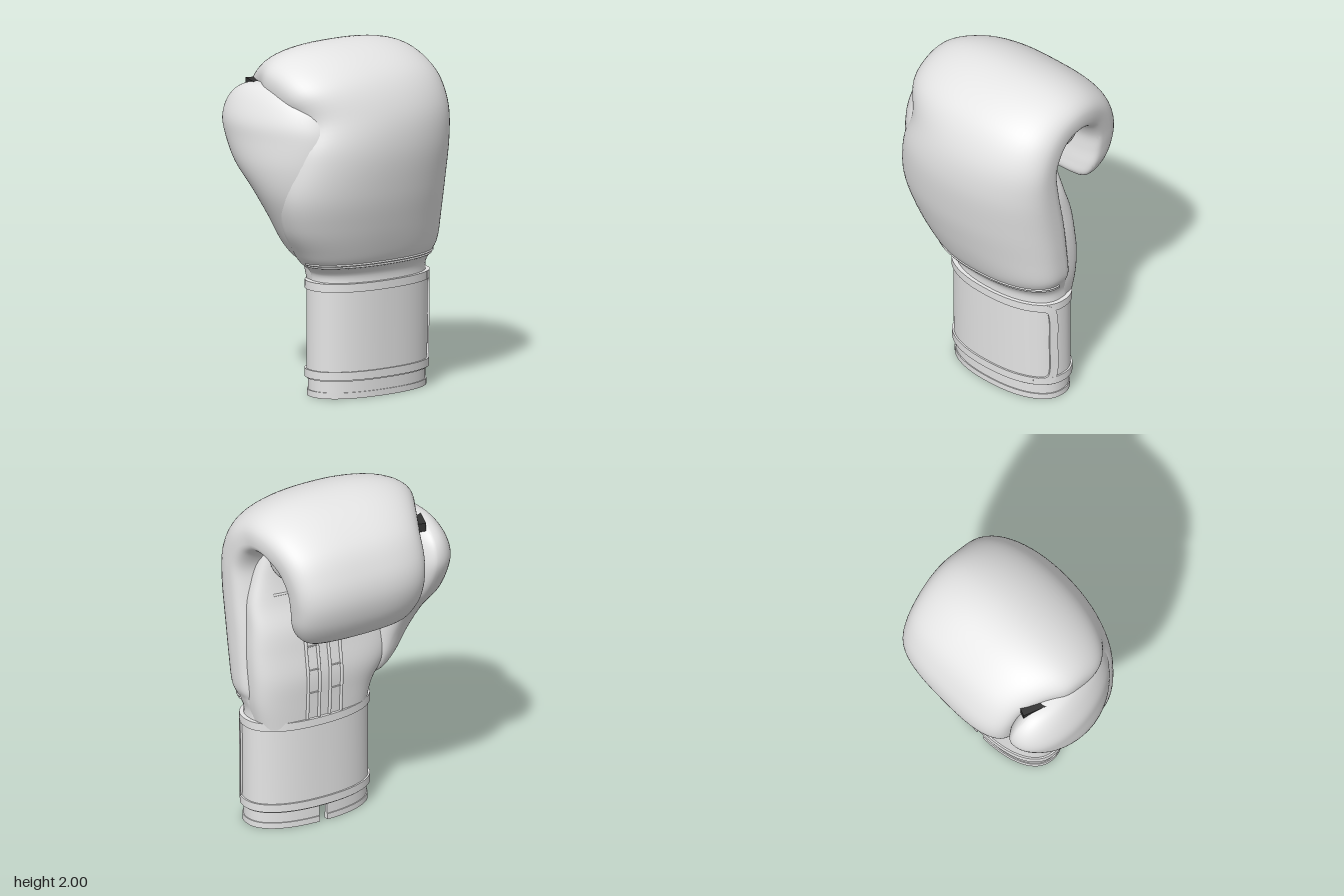
import * as THREE from 'three';
import { toCreasedNormals } from 'three/addons/utils/BufferGeometryUtils.js';

const V = (x, y, z) => new THREE.Vector3(x, y, z);
const leather = new THREE.MeshStandardMaterial({ color: 0xe5e5e5 });
leather.name = 'light grey leather';
const webbing = new THREE.MeshStandardMaterial({ color: 0x333333 });
webbing.name = 'dark webbing';

// Smooth interpolation of a table of section rows at parameter t
function rowAt(rows, t) {
  const last = rows.length - 1;
  const i = Math.min(Math.floor(t), last - 1), f = t - i;
  const at = (k) => rows[Math.max(0, Math.min(last, k))];
  return rows[0].map((_, c) => {
    const [a, b, d, e] = [at(i - 1)[c], at(i)[c], at(i + 1)[c], at(i + 2)[c]];
    return b + 0.5 * f * (d - a + f * (2 * a - 5 * b + 4 * d - e + f * (3 * (b - d) + e - a)));
  });
}

// Signed power used for superellipse sections
const pw = (v, n) => Math.sign(v) * Math.abs(v) ** (2 / n);

// Skin closed rings into a solid, capped at the ends or looped round
function loft(rings, loop = false) {
  const n = rings[0].length, m = rings.length, pos = [], idx = [];
  rings.forEach((r) => r.forEach((p) => pos.push(p.x, p.y, p.z)));
  for (let i = 0; i < (loop ? m : m - 1); i++) {
    for (let j = 0; j < n; j++) {
      const k = (i + 1) % m, l = (j + 1) % n;
      const a = i * n + j, b = i * n + l, c = k * n + l, d = k * n + j;
      idx.push(a, b, c, a, c, d);
    }
  }
  if (!loop) {
    [0, m - 1].forEach((r) => {
      const c = rings[r].reduce((s, p) => s.add(p), V(0, 0, 0)).divideScalar(n);
      const ci = pos.length / 3;
      pos.push(c.x, c.y, c.z);
      for (let j = 0; j < n; j++) {
        const a = r * n + j, b = r * n + (j + 1) % n;
        if (r === 0) idx.push(ci, b, a); else idx.push(ci, a, b);
      }
    });
  }
  // Turn the faces outwards when the enclosed volume is negative
  const p = (i) => V(pos[3 * i], pos[3 * i + 1], pos[3 * i + 2]);
  let vol = 0;
  for (let i = 0; i < idx.length; i += 3) vol += p(idx[i]).dot(p(idx[i + 1]).cross(p(idx[i + 2])));
  if (vol < 0) idx.reverse();
  const g = new THREE.BufferGeometry();
  g.setAttribute('position', new THREE.Float32BufferAttribute(pos, 3));
  g.setIndex(idx);
  return toCreasedNormals(g, 0.75);
}

const ringOf = (fn, n = 64) => Array.from({ length: n }, (_, i) => fn((i / n) * Math.PI * 2));
const loftRows = (rows, section, steps) =>
  loft(Array.from({ length: steps + 1 }, (_, i) => {
    const r = rowAt(rows, (i / steps) * (rows.length - 1));
    return ringOf((a) => section(r, a));
  }));

// Padded shell: outer z, outer y, inner z, inner y, x right edge, x left edge, squareness
const shellRows = [
  [0.285, 0.64, -0.02, 0.64, -0.2, 0.54, 2.2], [0.29, 0.71, -0.02, 0.71, -0.21, 0.54, 2.2],
  [0.335, 0.775, 0, 0.775, -0.3, 0.56, 2.2], [0.37, 0.85, 0, 0.84, -0.355, 0.585, 2.2],
  [0.42, 1, 0.01, 0.98, -0.445, 0.59, 2.1], [0.47, 1.2, 0.03, 1.18, -0.5, 0.59, 2.1],
  [0.5, 1.45, 0.075, 1.4, -0.465, 0.59, 2.1], [0.47, 1.66, 0.1, 1.55, -0.405, 0.59, 2.1],
  [0.37, 1.84, 0.06, 1.65, -0.465, 0.585, 2.2], [0.2, 1.955, 0, 1.695, -0.48, 0.575, 2.3],
  [0, 2, -0.07, 1.71, -0.47, 0.57, 2.4], [-0.2, 1.955, -0.13, 1.69, -0.415, 0.555, 2.6],
  [-0.38, 1.83, -0.19, 1.64, -0.36, 0.53, 2.8], [-0.47, 1.68, -0.235, 1.55, -0.345, 0.51, 2.9],
  [-0.5, 1.54, -0.235, 1.45, -0.335, 0.495, 2.9], [-0.475, 1.4, -0.22, 1.35, -0.32, 0.475, 2.7],
  [-0.41, 1.28, -0.215, 1.28, -0.28, 0.43, 2.5], [-0.35, 1.235, -0.25, 1.24, -0.22, 0.37, 2.4],
  [-0.31, 1.22, -0.29, 1.22, -0.14, 0.3, 2.2],
];
// Widest a third of the way out, rounded outside and flatter inside
function shellPoint([oz, oy, iz, iy, x0, x1, n], a) {
  const c = Math.cos(a), s = Math.sin(a), k = s > 0 ? n : 4;
  const u = 0.37 + pw(s, k) * (s > 0 ? 0.63 : 0.37);
  return V((x0 + x1) / 2 + pw(c, k) * (x1 - x0) / 2, iy + u * (oy - iy), iz + u * (oz - iz));
}

// Thumb: y, outer x, middle x, inner x, back z, front z
const thumbRows = [
  [0.77, -0.27, -0.2, -0.12, 0.02, 0.17], [0.81, -0.32, -0.22, -0.13, -0.05, 0.24],
  [0.9, -0.395, -0.25, -0.15, -0.09, 0.28], [1.05, -0.48, -0.28, -0.17, -0.13, 0.32],
  [1.2, -0.55, -0.31, -0.19, -0.2, 0.35], [1.35, -0.588, -0.335, -0.21, -0.32, 0.37],
  [1.5, -0.59, -0.35, -0.23, -0.395, 0.37], [1.6, -0.582, -0.355, -0.25, -0.41, 0.345],
  [1.7, -0.54, -0.365, -0.28, -0.37, 0.28], [1.77, -0.49, -0.38, -0.33, -0.27, 0.17],
  [1.8, -0.44, -0.39, -0.36, -0.12, 0.07],
];
function thumbPoint([y, xo, xm, xi, z0, z1], a) {
  const c = Math.cos(a), z = (z0 + z1) / 2 + Math.sin(a) * (z1 - z0) / 2;
  return V(xm + Math.abs(c) * ((c < 0 ? xo : xi) - xm) + 0.13 * z, y, z);
}

// Palm: y, x right edge, x left edge, back z, front z
const palmRows = [
  [0.62, -0.18, 0.52, -0.113, 0.2], [0.77, -0.22, 0.55, -0.12, 0.2],
  [0.92, -0.32, 0.56, -0.125, 0.2], [1.07, -0.38, 0.56, -0.105, 0.2],
  [1.22, -0.4, 0.55, -0.08, 0.2], [1.37, -0.4, 0.535, -0.025, 0.2],
  [1.52, -0.4, 0.49, 0.0, 0.2], [1.67, -0.36, 0.44, 0.0, 0.2],
];
function palmSection([y, x0, x1, z0, z1], a) {
  return V((x0 + x1) / 2 + pw(Math.cos(a), 3) * (x1 - x0) / 2, y, (z0 + z1) / 2 + pw(Math.sin(a), 3) * (z1 - z0) / 2);
}
// Point on the back face of the palm
function palmPoint(x, y) {
  const [, x0, x1, z0, z1] = rowAt(palmRows, (y - 0.62) / 0.15);
  const u = Math.abs((x - (x0 + x1) / 2) / ((x1 - x0) / 2));
  return V(x, y, (z0 + z1) / 2 - (1 - Math.min(1, u) ** 3) ** (1 / 3) * (z1 - z0) / 2);
}

// Point on the wrist oval, pushed out by g
function oval(a, y, g) {
  const front = 0.275 + 0.015 * y, back = -0.113;
  return V(0.165 + (0.38 + g) * pw(Math.cos(a), 2.25), y,
    (front + back) / 2 + ((front - back) / 2 + g) * pw(Math.sin(a), 2.25));
}
// Band round the wrist; a gap leaves it split at the back
function band(y0, y1, grow, inner, gap = 0) {
  const n = 96, rings = [];
  for (let i = 0; i < (gap ? n + 1 : n); i++) {
    const a = -Math.PI / 2 + gap + (i / n) * (Math.PI * 2 - 2 * gap);
    rings.push([oval(a, y0, inner), oval(a, y0, grow), oval(a, y1, grow), oval(a, y1, inner)]);
  }
  return loft(rings, !gap);
}

export function createModel() {
  const glove = new THREE.Group();
  glove.name = 'boxingGlove';
  const add = (name, geometry, material = leather) => {
    const mesh = new THREE.Mesh(geometry, material);
    mesh.name = name;
    glove.add(mesh);
    return mesh;
  };
  const piping = (name, pts, r = 0.008) =>
    add(name, new THREE.TubeGeometry(new THREE.CatmullRomCurve3(pts), pts.length * 4, r, 6));

  // Padding, thumb, palm and the bar gripped inside the curl
  add('paddedShell', loftRows(shellRows, shellPoint, 108));
  add('thumb', loftRows(thumbRows, thumbPoint, 60));
  add('palm', loftRows(palmRows, palmSection, 35));
  const grip = add('gripBar', new THREE.CapsuleGeometry(0.1, 0.58, 10, 28));
  grip.rotation.z = Math.PI / 2;
  grip.scale.z = 1.55;
  grip.position.set(0.06, 1.635, -0.065);

  // Strap tying the thumb to the fingers
  const tie = add('thumbStrap', new THREE.BoxGeometry(0.06, 0.05, 0.15), webbing);
  tie.rotation.y = -0.33;
  tie.position.set(-0.39, 1.765, -0.225);

  // Wrist cuff with trims and the split sleeve under it
  add('cuff', band(0.1, 0.66, 0.01, -0.02));
  add('cuffTopTrim', band(0.612, 0.66, 0.02, 0));
  add('cuffBottomTrim', band(0.108, 0.155, 0.02, 0));
  add('sleeve', band(0.01, 0.13, 0, -0.02, 0.045));
  add('sleeveHem', band(0, 0.035, 0.006, -0.024, 0.045));

  // Strap end trim with rounded corners, given as angle and height
  const end = new THREE.CatmullRomCurve3([
    [0.75, 0.634], [0.5, 0.634], [0.34, 0.61], [0.28, 0.55], [0.28, 0.38],
    [0.28, 0.21], [0.34, 0.155], [0.5, 0.132], [0.75, 0.132],
  ].map(([a, y]) => V(a * 0.22, y, 0)));
  const ribbon = end.getSpacedPoints(60).map((p, i) => {
    const t = end.getTangentAt(i / 60);
    const side = (s, g) => oval((p.x - s * t.y * 0.023) / 0.22, p.y + s * t.x * 0.023, g);
    return [side(-1, 0), side(-1, 0.021), side(1, 0.021), side(1, 0)];
  });
  add('strapEndTrim', loft(ribbon));

  // Seams where the padding meets the wrist
  [1.82, 2.05].forEach((t) => {
    const row = rowAt(shellRows, t);
    piping('wristSeam', Array.from({ length: 33 }, (_, i) => shellPoint(row, (i / 32) * Math.PI)), 0.007);
  });

  // Lacing slot: nested arches, rungs and cross seam on the palm
  const mid = 0.16;
  [[0.035, 1.17], [0.11, 1.24]].forEach(([w, top]) => {
    const pts = [];
    for (let i = 0; i <= 6; i++) pts.push([mid - w, 0.64 + (i / 6) * (top - 0.64)]);
    for (let i = 1; i < 8; i++) {
      const a = Math.PI * (1 - i / 8);
      pts.push([mid + w * Math.cos(a), top + w * Math.sin(a)]);
    }
    for (let i = 6; i >= 0; i--) pts.push([mid + w, 0.64 + (i / 6) * (top - 0.64)]);
    piping('laceArch', pts.map(([x, y]) => palmPoint(x, y)), 0.01);
  });
  [0.82, 0.96, 1.1].forEach((y) => [-1, 1].forEach((s) =>
    piping('laceRung', [0.035, 0.07, 0.11].map((w) => palmPoint(mid + s * w, y)), 0.005)));
  piping('palmSeam', [-0.2, -0.05, 0.1, 0.25, 0.42].map((x) => palmPoint(x, 1.42)));
  return glove;
}
